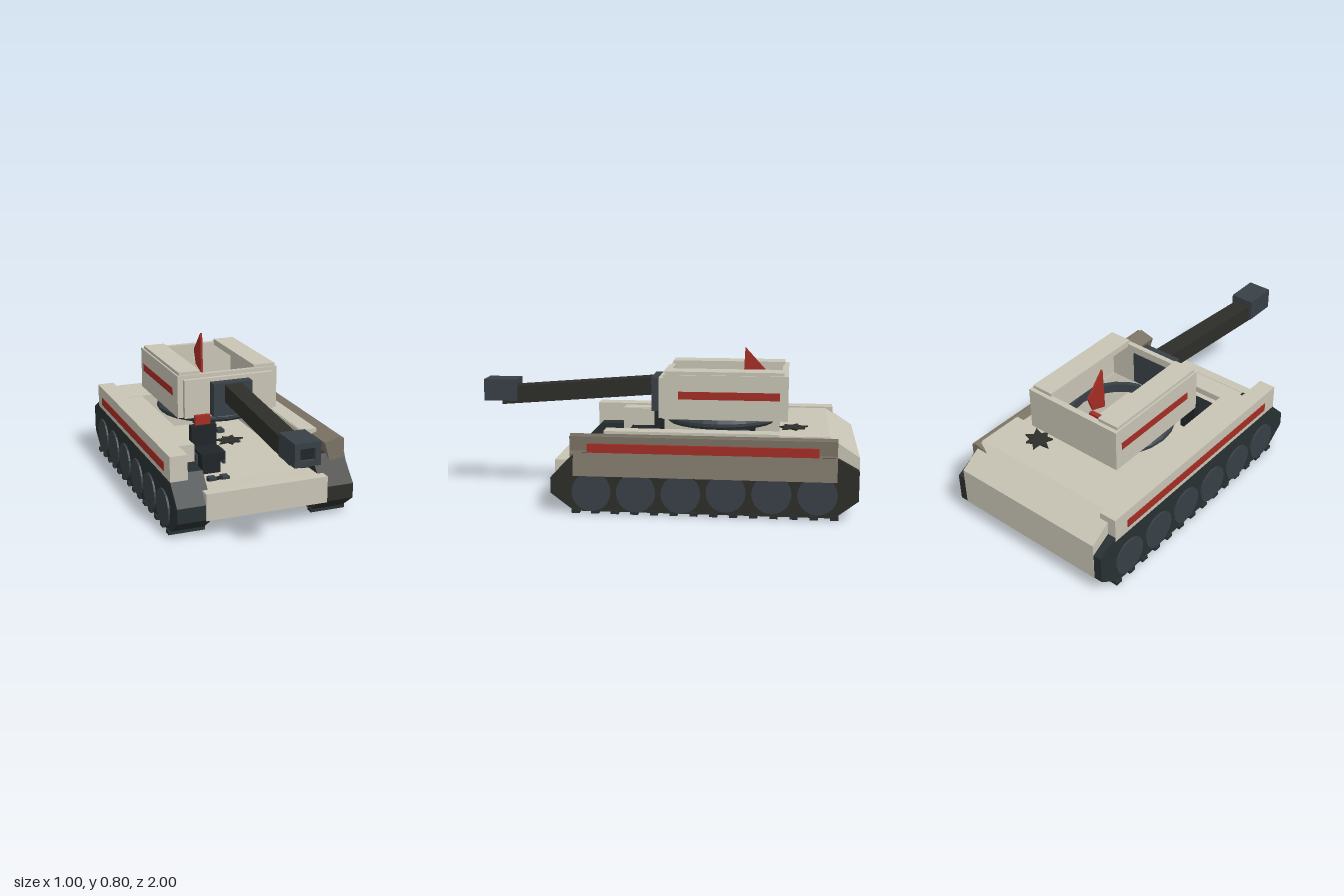
import * as THREE from 'three';

const mat = (color) => new THREE.MeshStandardMaterial({ color, flatShading: true, side: THREE.DoubleSide });
const BEIGE = mat(0xc8c4b5), STEEL = mat(0x384046), DARK = mat(0x2d2d29), SLATE = mat(0x283032);
const BLACK = mat(0x202527), RED = mat(0xa52d25), BROWN = mat(0x7a7264);

function add(parent, name, geometry, material) {
  const mesh = new THREE.Mesh(geometry, material);
  mesh.name = name;
  parent.add(mesh);
  return mesh;
}

// Box given by its limits on each axis
function box(parent, name, material, [x0, x1], [y0, y1], [z0, z1]) {
  const mesh = add(parent, name, new THREE.BoxGeometry(x1 - x0, y1 - y0, z1 - z0), material);
  mesh.position.set((x0 + x1) / 2, (y0 + y1) / 2, (z0 + z1) / 2);
  return mesh;
}

// Side profile of [z, y] points, extruded across x
function slab(parent, name, material, points, x0, x1) {
  const shape = new THREE.Shape(points.map(([z, y]) => new THREE.Vector2(z, y)));
  const geometry = new THREE.ExtrudeGeometry(shape, { depth: x1 - x0, bevelEnabled: false });
  geometry.rotateY(-Math.PI / 2).translate(x1, 0, 0);
  return add(parent, name, geometry, material);
}

function group(parent, name) {
  const g = new THREE.Group();
  g.name = name;
  parent.add(g);
  return g;
}

// Seat with headrest, armrests and a pair of pedals
function seat(parent, name, x, y, z) {
  const g = group(parent, name);
  g.position.set(x, y, z);
  box(g, 'seatBase', BLACK, [-0.05, 0.05], [-0.04, 0.04], [0.0, 0.11]);
  box(g, 'seatCushion', BLACK, [-0.065, 0.065], [0.04, 0.08], [-0.01, 0.14]);
  box(g, 'seatBack', BLACK, [-0.07, 0.07], [0.05, 0.19], [-0.04, 0]);
  box(g, 'headrest', RED, [-0.042, 0.042], [0.19, 0.24], [-0.04, -0.015]);
  for (const s of [-1, 1]) {
    const arm = box(g, 'armrest', STEEL, [-0.006, 0.006], [0.0, 0.07], [0.0, 0.1]);
    arm.position.x = s * 0.076;
    const pedal = box(g, 'pedal', STEEL, [-0.019, 0.019], [-0.04, -0.02], [0.185, 0.235]);
    pedal.position.x = s * 0.036;
  }
  box(g, 'pedalBar', BLACK, [-0.06, 0.06], [-0.038, -0.026], [0.195, 0.215]);
}

// Ragged star of torn metal lying on a surface
function tear(parent, x, y, z, turn) {
  const shape = new THREE.Shape();
  for (let i = 0; i < 14; i++) {
    const r = i % 2 ? 0.045 : 0.08 + 0.012 * Math.sin(i * 2.3);
    const a = (i / 14) * Math.PI * 2;
    shape[i ? 'lineTo' : 'moveTo'](r * Math.cos(a), r * Math.sin(a));
  }
  const geometry = new THREE.ExtrudeGeometry(shape, { depth: 0.008, bevelEnabled: false });
  const mesh = add(parent, 'tornMetal', geometry.rotateX(-Math.PI / 2), DARK);
  mesh.position.set(x, y, z);
  mesh.rotation.y = turn;
}

// Track with wheels and tread bars; side is +1 or -1
function track(parent, side) {
  const g = group(parent, side > 0 ? 'leftTrack' : 'rightTrack');
  const range = (a, b) => (side > 0 ? [a, b] : [-b, -a]);
  const profile = [[0.42, 0.315], [0.55, 0.18], [0.55, 0.1], [0.43, 0.01],
    [-0.88, 0.01], [-0.998, 0.1], [-0.998, 0.25], [-0.88, 0.315]];
  slab(g, 'trackBody', side > 0 ? DARK : SLATE, profile, ...range(0.3, 0.48));
  for (let i = 0; i < 6; i++) {
    const wheel = add(g, 'roadWheel', new THREE.CylinderGeometry(0.1, 0.1, 0.02, 20), STEEL);
    wheel.rotation.z = Math.PI / 2;
    wheel.position.set(side * 0.48, i > 2 ? 0.125 : 0.112, 0.34 - i * 0.227);
  }
  for (let i = 0; i < 14; i++) {
    const z = 0.42 - i * 0.1;
    box(g, 'treadBar', SLATE, range(0.296, 0.49), [0, 0.02], [z - 0.02, z + 0.02]);
  }
}

export function createModel() {
  const model = new THREE.Group();
  model.name = 'tank';
  const body = group(model, 'body');
  body.position.x = -0.008;

  // Hull tub, front plate, raised rear deck
  const hull = group(body, 'hull');
  box(hull, 'hullFloor', BEIGE, [-0.302, 0.302], [0.1, 0.2], [-0.98, 0.5]);
  slab(hull, 'frontPlate', BEIGE, [[0.39, 0.1], [0.555, 0.1], [0.555, 0.24], [0.39, 0.235]], -0.302, 0.302);
  box(hull, 'frontBumper', BEIGE, [-0.33, 0.33], [0.098, 0.24], [0.5, 0.557]);
  slab(hull, 'rearDeck', BEIGE, [[-0.6, 0.2], [-0.6, 0.41], [-0.85, 0.41], [-1, 0.31], [-1, 0.1], [-0.97, 0.1]], -0.302, 0.302);
  for (const s of [-1, 1]) {
    const r = (a, b) => (s > 0 ? [a, b] : [-b, -a]);
    slab(hull, 'rearCorner', BEIGE, [[-0.6, 0.28], [-0.6, 0.41], [-0.85, 0.41], [-1, 0.31], [-1, 0.1], [-0.97, 0.1]], ...r(0.3, 0.435));
    box(hull, 'sideWall', BEIGE, r(0.295, 0.305), [0.19, 0.405], [-0.6, 0.29]);
    box(hull, 'sponson', BEIGE, r(0.3, 0.39), [0.28, 0.408], [-0.6, 0.29]);
    track(body, s);
  }

  // Intact fender on one side, bent fender and skirt on the other
  box(body, 'rightFender', BEIGE, [-0.481, -0.388], [0.285, 0.418], [-0.89, 0.45]);
  box(body, 'rightStripe', RED, [-0.485, -0.48], [0.315, 0.36], [-0.8, 0.36]);
  const bent = box(body, 'leftFender', BROWN, [-0.045, 0.045], [-0.055, 0.055], [-0.89, 0.45]);
  bent.position.set(0.42, 0.341, -0.22);
  bent.rotation.z = 0.27;
  slab(body, 'leftFenderSide', BROWN, [[0.45, 0.29], [-0.89, 0.29], [-0.89, 0.395], [0.45, 0.395]], 0.44, 0.472);
  const skirt = box(body, 'leftSkirt', BROWN, [-0.009, 0.009], [-0.06, 0.06], [-0.89, 0.43]);
  skirt.position.set(0.488, 0.255, -0.23);
  skirt.rotation.z = 0.22;
  box(body, 'leftStripe', RED, [0.474, 0.487], [0.315, 0.36], [-0.8, 0.36]);

  // Seats and battle damage
  seat(body, 'driverSeat', -0.17, 0.24, 0.09);
  seat(body, 'gunnerSeat', 0, 0.31, -0.43);
  tear(body, 0.215, 0.411, -0.67, 0.2);
  tear(body, 0.1, 0.205, -0.23, 1);
  tear(body, -0.14, 0.27, 0.13, 2);

  // Turret ring
  const ringProfile = [[0.25, 0.405], [0.28, 0.405], [0.293, 0.42], [0.293, 0.435], [0.275, 0.455], [0.25, 0.455], [0.25, 0.405]];
  const ring = add(body, 'turretRing', new THREE.LatheGeometry(ringProfile.map(([r, y]) => new THREE.Vector2(r, y)), 24), STEEL);
  ring.position.z = -0.285;

  // Open turret
  const turret = group(body, 'turret');
  box(turret, 'turretFront', BEIGE, [-0.283, 0.283], [0.455, 0.685], [-0.025, 0]);
  box(turret, 'turretFrontPanel', BEIGE, [-0.253, 0.253], [0.455, 0.665], [0, 0.025]);
  box(turret, 'turretBack', BEIGE, [-0.283, 0.283], [0.455, 0.685], [-0.642, -0.61]);
  for (const s of [-1, 1]) {
    const r = (a, b) => (s > 0 ? [a, b] : [-b, -a]);
    box(turret, 'turretSide', BEIGE, r(0.255, 0.283), [0.455, 0.685], [-0.642, 0]);
    box(turret, 'turretRoofBar', BEIGE, r(0.153, 0.274), [0.668, 0.702], [-0.62, -0.01]);
    box(turret, 'turretStripe', RED, r(0.28, 0.286), [0.56, 0.6], [-0.6, -0.08]);
  }
  slab(turret, 'redFin', RED, [[-0.41, 0.8], [-0.52, 0.68], [-0.49, 0.6], [-0.4, 0.57]], -0.006, 0.006);

  // Gun: mantlet, sloping square barrel, muzzle with recessed bore
  const gun = group(body, 'gun');
  box(gun, 'mantlet', STEEL, [-0.11, 0.11], [0.465, 0.645], [-0.03, 0.08]);
  slab(gun, 'barrel', DARK, [[0.05, 0.545], [0.905, 0.475], [0.905, 0.57], [0.05, 0.64]], -0.048, 0.048);
  const face = new THREE.Shape([[-0.066, 0.497], [0.066, 0.497], [0.066, 0.613], [-0.066, 0.613]].map((p) => new THREE.Vector2(...p)));
  face.holes.push(new THREE.Path([[-0.038, 0.525], [-0.038, 0.585], [0.038, 0.585], [0.038, 0.525]].map((p) => new THREE.Vector2(...p))));
  const muzzle = add(gun, 'muzzle', new THREE.ExtrudeGeometry(face, { depth: 0.18, bevelEnabled: false }), STEEL);
  muzzle.position.z = 0.82;
  box(gun, 'bore', BLACK, [-0.039, 0.039], [0.524, 0.586], [0.83, 0.98]);
  return model;
}
